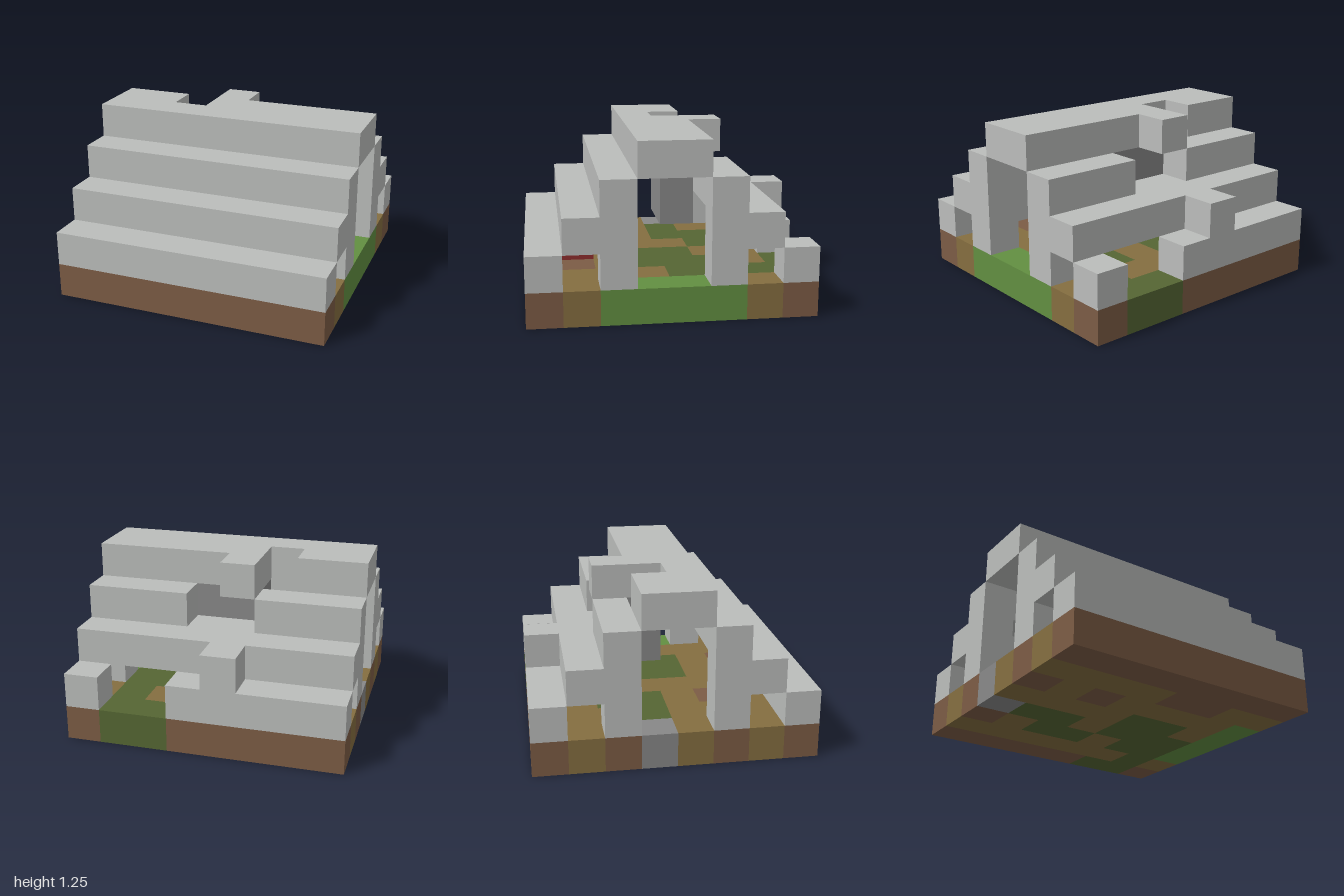
import * as THREE from 'three';

const CELL = 0.25;

export function createModel() {
  const model = new THREE.Group();
  model.name = 'blockHouse';

  const mat = (name, color) => {
    const m = new THREE.MeshStandardMaterial({ color });
    m.name = name;
    return m;
  };
  const stone = mat('lightStone', 0xbbbdbb);
  const darkStone = mat('darkStone', 0x888888);
  const red = mat('redCloth', 0x8f2d2d);
  const ground = {
    D: mat('brownEarth', 0x7c5c45),
    G: mat('ochreFloor', 0x856e40),
    L: mat('lightGrass', 0x628f41),
    M: mat('darkMoss', 0x556633),
    S: darkStone,
  };

  // Box filling whole cells: first cell and cell count on x, y and z (z from the back)
  function block(name, material, i, j, k, nx = 1, ny = 1, nz = 1) {
    const mesh = new THREE.Mesh(new THREE.BoxGeometry(nx * CELL, ny * CELL, nz * CELL), material);
    mesh.position.set((i + nx / 2 - 4) * CELL, (j + ny / 2) * CELL, (k + nz / 2 - 4) * CELL);
    mesh.name = name;
    model.add(mesh);
  }

  // Patchwork ground, one row of cells per string, back to front
  const rows = [
    'DDDDDMMD',
    'GGGGGGMG',
    'DGMMGMML',
    'SMMGMMML',
    'GGGGMMGL',
    'DGDGGGGL',
    'GGGGDDGG',
    'DDDDDDDD',
  ];
  rows.forEach((row, k) => {
    for (let i = 0; i < 8;) {
      let n = 1;
      while (i + n < 8 && row[i + n] === row[i]) n++;
      block('groundTile', ground[row[i]], i, 0, k, n);
      i += n;
    }
  });

  // Front roof steps
  block('frontStepLow', stone, 0, 1, 7, 8);
  block('frontStepMiddle', stone, 0, 2, 6, 8);
  block('frontStepHigh', stone, 0, 3, 5, 8);

  // Ridge with a smoke hole
  block('ridgeFront', stone, 0, 4, 4, 8);
  block('ridgeBackRight', stone, 0, 4, 3, 2);
  block('ridgeBackLeft', stone, 3, 4, 3, 5);
  block('ridgeBump', stone, 3, 4, 2);

  // Back roof steps, broken by a notch
  block('backStepHighRight', stone, 0, 3, 2, 3);
  block('backStepHighLeft', stone, 5, 3, 2, 3);
  block('backNotchFloor', stone, 3, 2, 2, 2);
  block('backStepMiddle', stone, 0, 2, 1, 8);
  block('backBump', stone, 3, 2, 0);

  // Back wall with a doorway
  block('backWallRight', stone, 0, 1, 0, 5);
  block('backWallLeft', stone, 7, 1, 0);

  // Gable pillars at both ends
  for (const i of [0, 7]) {
    for (const k of [2, 5]) block('gablePillar', stone, i, 1, k, 1, 2);
  }

  // Hanging chimney hood and red seat inside
  block('chimneyHood', darkStone, 3, 2, 3, 2, 2);
  block('redSeat', red, 3, 1, 6, 2);

  return model;
}
